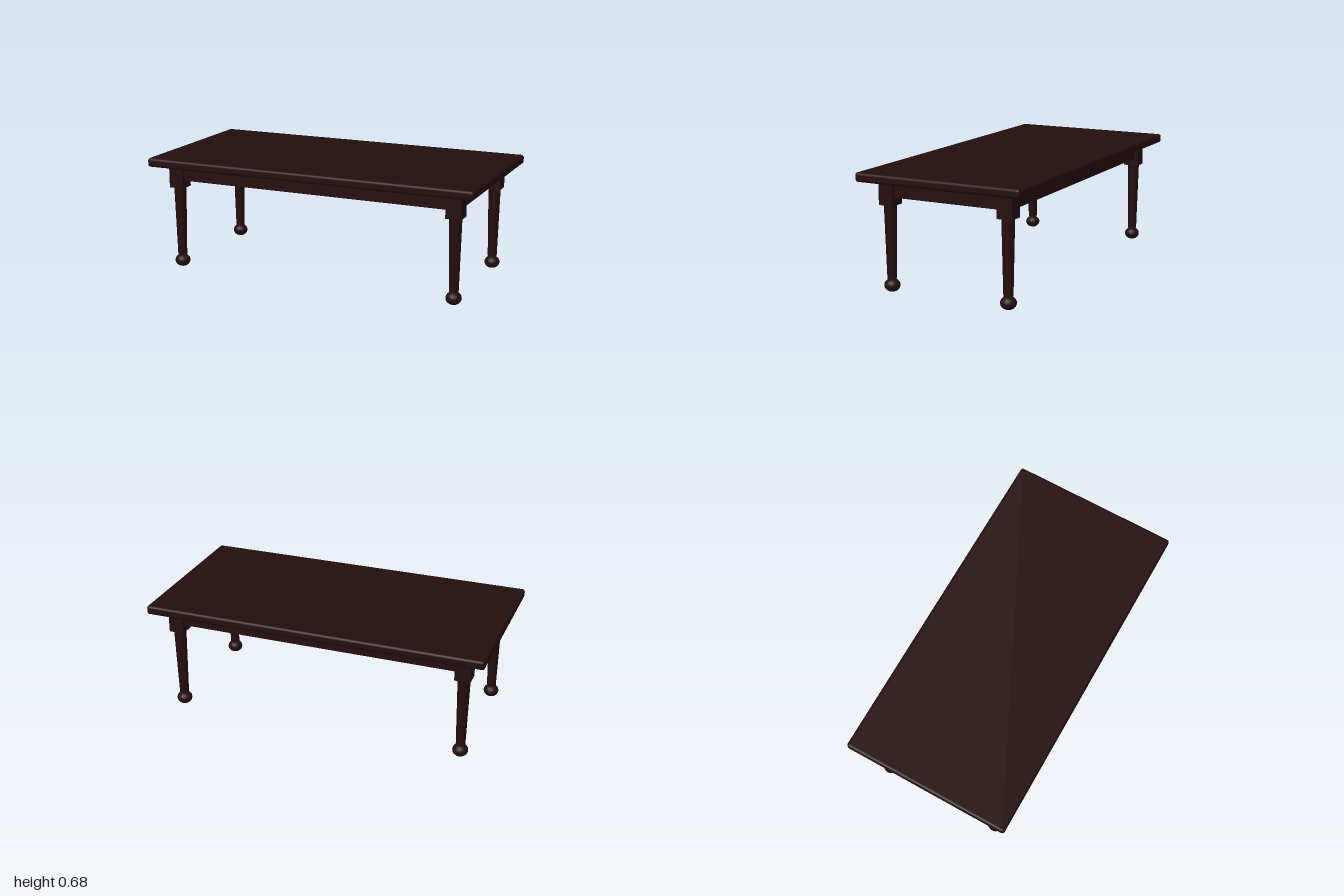
import * as THREE from 'three';
import { RoundedBoxGeometry } from 'three/addons/geometries/RoundedBoxGeometry.js';

export function createModel() {
  const table = new THREE.Group();
  table.name = 'table';
  const darkWood = new THREE.MeshStandardMaterial({ color: 0x240d0d });
  darkWood.name = 'dark wood';

  function add(parent, name, geometry, x, y, z) {
    const mesh = new THREE.Mesh(geometry, darkWood);
    mesh.name = name;
    mesh.position.set(x, y, z);
    parent.add(mesh);
    return mesh;
  }

  const legX = 0.863, legZ = 0.364, block = 0.09;
  const topBottom = 0.63, topHeight = 0.053;

  // Table top with softened edges
  add(table, 'tableTop', new RoundedBoxGeometry(2, topHeight, 1, 4, 0.016),
    0, topBottom + topHeight / 2, 0);

  // Aprons, set between the corner blocks
  const apronHeight = 0.09, apronDepth = 0.05;
  const apronY = topBottom - apronHeight / 2;
  const longApron = new THREE.BoxGeometry(2 * legX - block, apronHeight, apronDepth);
  const shortApron = new THREE.BoxGeometry(apronDepth, apronHeight, 2 * legZ - block);
  for (const s of [1, -1]) {
    add(table, s > 0 ? 'frontApron' : 'backApron', longApron, 0, apronY, s * legZ);
    add(table, s > 0 ? 'leftApron' : 'rightApron', shortApron, s * legX, apronY, 0);
  }

  // Legs: square block, tapered shaft and flattened bun foot
  const blockHeight = 0.135;
  const blockGeometry = new THREE.BoxGeometry(block, blockHeight, block);
  const shaftGeometry = new THREE.CylinderGeometry(0.036, 0.027, 0.42, 24);
  const footGeometry = new THREE.SphereGeometry(0.045, 28, 18).scale(1, 0.0375 / 0.045, 1);
  for (const sx of [1, -1]) {
    for (const sz of [1, -1]) {
      const leg = new THREE.Group();
      leg.name = (sz > 0 ? 'front' : 'back') + (sx > 0 ? 'Left' : 'Right') + 'Leg';
      leg.position.set(sx * legX, 0, sz * legZ);
      add(leg, 'legBlock', blockGeometry, 0, topBottom - blockHeight / 2, 0);
      add(leg, 'legShaft', shaftGeometry, 0, 0.285, 0);
      add(leg, 'bunFoot', footGeometry, 0, 0.0375, 0);
      table.add(leg);
    }
  }
  return table;
}
